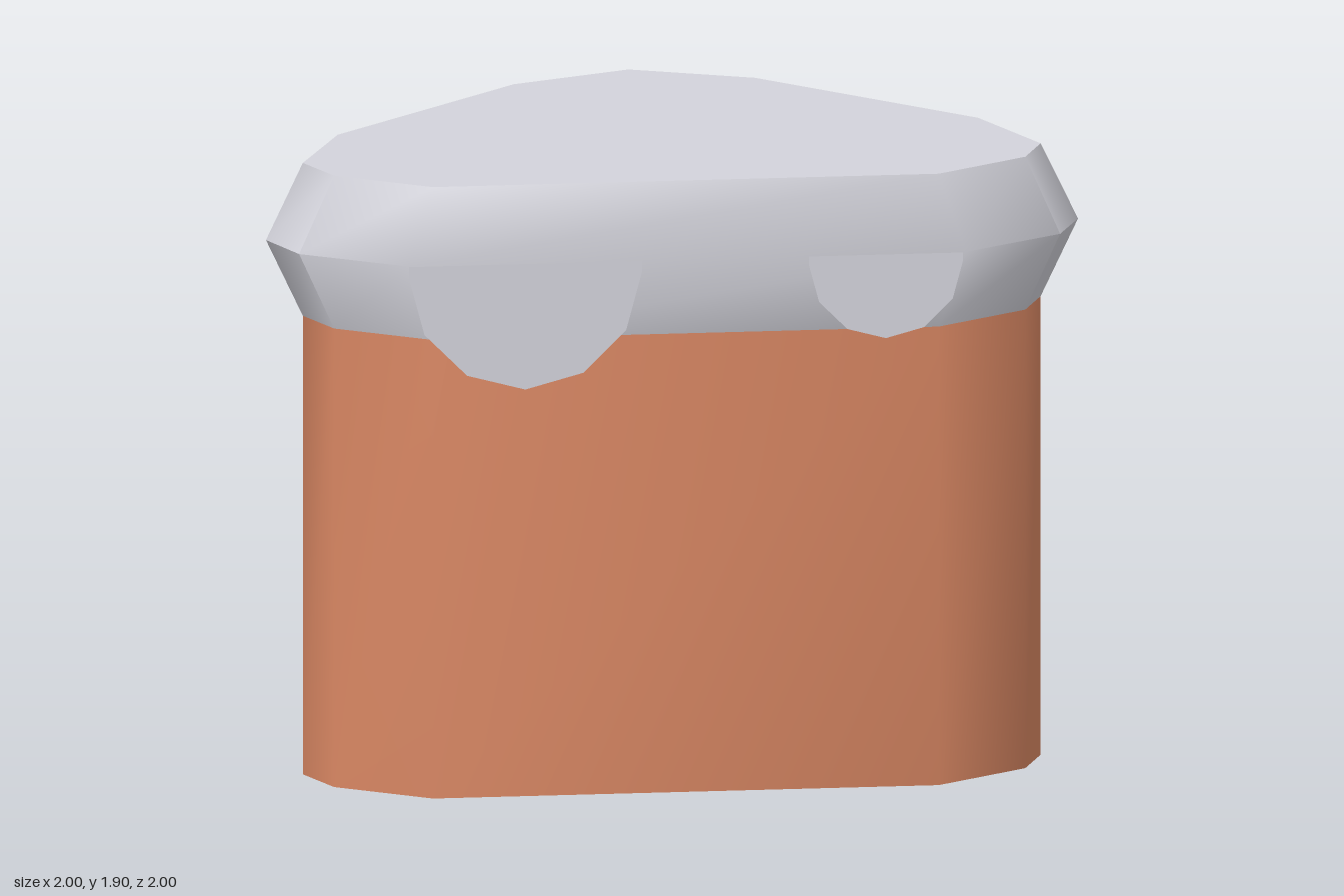
import * as THREE from 'three';
import { toCreasedNormals } from 'three/addons/utils/BufferGeometryUtils.js';

const earth = new THREE.MeshStandardMaterial({ color: 0xd98763 });
earth.name = 'earth';
const stone = new THREE.MeshStandardMaterial({ color: 0xd3d3db, side: THREE.DoubleSide });
stone.name = 'paleStone';

// Outlines [x, z], running clockwise seen from above
const wallOutline = [
  [-0.91, -0.39], [-0.76, -0.76], [-0.39, -0.91], [0.47, -0.91], [0.83, -0.76], [0.905, -0.59],
  [0.84, -0.25], [-0.25, 0.84], [-0.58, 0.905], [-0.76, 0.83], [-0.91, 0.47],
];
const ridgeOutline = [
  [-1, -0.43], [-0.835, -0.835], [-0.43, -1], [0.52, -1], [0.915, -0.835], [1, -0.64],
  [0.925, -0.275], [-0.275, 0.925], [-0.64, 1], [-0.835, 0.915], [-1, 0.52],
];

// Skin stacked outlines, closing the bottom or the top with a fan
function loft(layers, { top = false, bottom = false }) {
  const n = wallOutline.length;
  const positions = layers.flatMap(([outline, y]) => outline.flatMap(([x, z]) => [x, y, z]));
  const index = [];
  for (let l = 0; l < layers.length - 1; l++) {
    for (let i = 0; i < n; i++) {
      const a = l * n + i, b = l * n + (i + 1) % n;
      index.push(b, a, a + n, b, a + n, b + n);
    }
  }
  const last = (layers.length - 1) * n;
  for (let i = 1; i < n - 1; i++) {
    if (bottom) index.push(0, i, i + 1);
    if (top) index.push(last, last + i + 1, last + i);
  }
  const geometry = new THREE.BufferGeometry();
  geometry.setAttribute('position', new THREE.Float32BufferAttribute(positions, 3));
  geometry.setIndex(index);
  return toCreasedNormals(geometry, 0.8);
}

// Flat rounded tongue hanging from the ridge height
function dripGeometry(radius, centreY) {
  const shape = new THREE.Shape();
  shape.moveTo(radius, 1.665);
  for (let i = 0; i <= 6; i++) {
    const angle = -i * Math.PI / 6;
    shape.lineTo(radius * Math.cos(angle), centreY + radius * Math.sin(angle));
  }
  shape.lineTo(-radius, 1.665);
  shape.closePath();
  return new THREE.ShapeGeometry(shape);
}

export function createModel() {
  const group = new THREE.Group();
  group.name = 'cliffBlock';
  const add = (name, geometry, material) => {
    const mesh = new THREE.Mesh(geometry, material);
    mesh.name = name;
    group.add(mesh);
    return mesh;
  };

  // Earth wall and bulging stone cap
  add('earthWall', loft([[wallOutline, 0], [wallOutline, 1.425]], { bottom: true }), earth);
  add('stoneCap', loft([[wallOutline, 1.425], [ridgeOutline, 1.665], [wallOutline, 1.9]], { top: true }), stone);

  // Drips: name, radius, centre height, x, z, yaw
  const drips = [
    ['largeDiagonalDrip', 0.355, 1.63, -0.02, 0.68, Math.PI / 4],
    ['smallDiagonalDrip', 0.235, 1.64, 0.757, -0.097, Math.PI / 4],
    ['backDrip', 0.235, 1.64, 0.28, -1.002, Math.PI],
    ['rightDrip', 0.235, 1.64, -1.002, -0.165, -Math.PI / 2],
  ];
  for (const [name, radius, centreY, x, z, yaw] of drips) {
    const drip = add(name, dripGeometry(radius, centreY), stone);
    drip.position.set(x, 0, z);
    drip.rotation.y = yaw;
  }
  return group;
}
